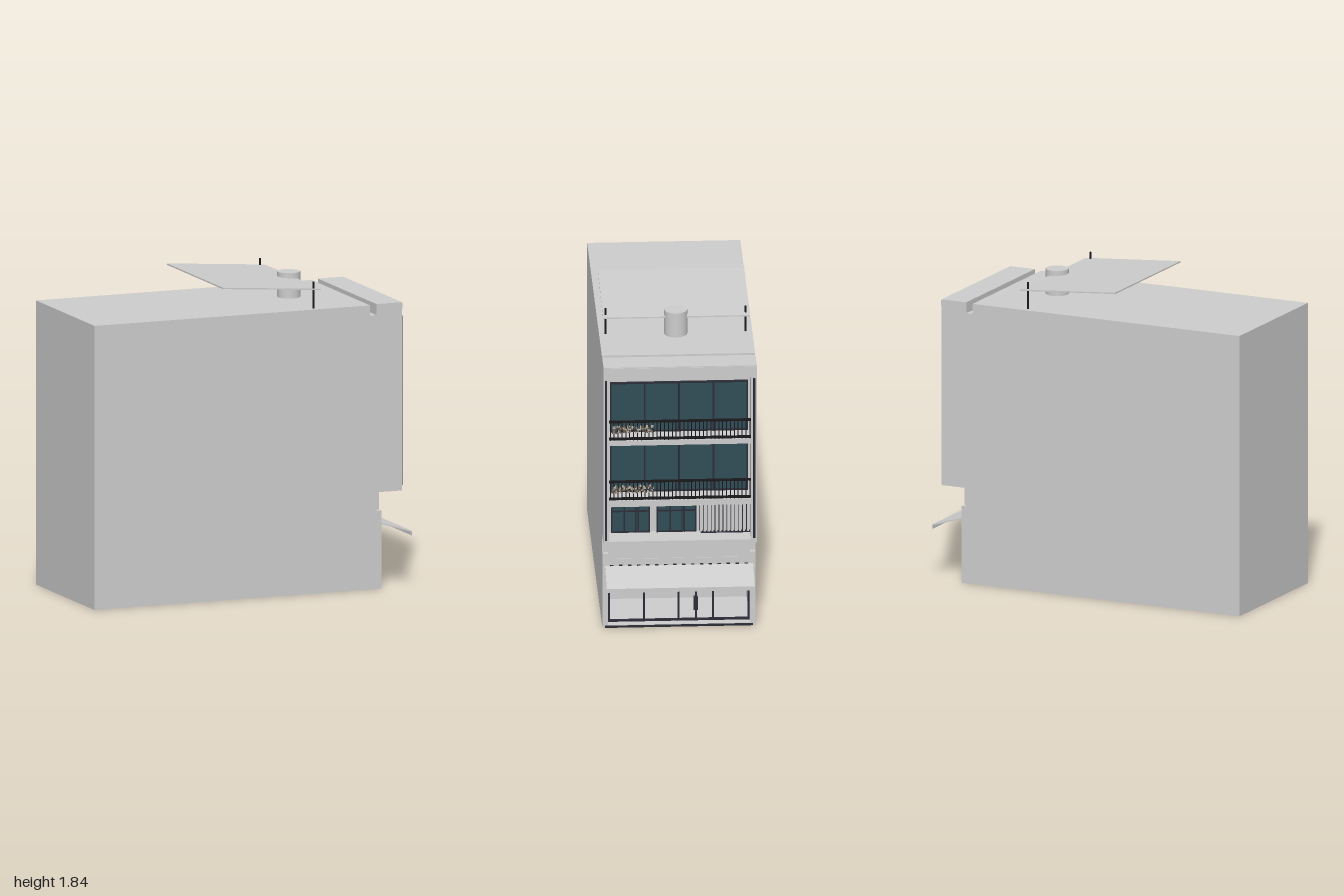
import * as THREE from 'three';

const mat = (name, color, side = THREE.FrontSide) => {
  const m = new THREE.MeshStandardMaterial({ color, side });
  m.name = name;
  return m;
};

export function createModel() {
  const wall = mat('pale grey wall', 0xcccccc);
  const glass = mat('dark teal glass', 0x2f4c56);
  const frame = mat('dark frame', 0x2c2c36);
  const rail = mat('black rail', 0x17171b);
  const bloom = mat('beige blossom', 0xb9aa98);
  const leaf = mat('brown leaf', 0x5d5148);

  const root = new THREE.Group();
  root.name = 'townhouse';
  const group = (name) => {
    const g = new THREE.Group();
    g.name = name;
    root.add(g);
    return g;
  };
  const add = (parent, name, geo, material) => {
    const m = new THREE.Mesh(geo, material);
    m.name = name;
    parent.add(m);
    return m;
  };
  // Box given by its lower and upper limits on each axis
  const box = (parent, name, material, x0, x1, y0, y1, z0, z1) => {
    const m = add(parent, name, new THREE.BoxGeometry(x1 - x0, y1 - y0, z1 - z0), material);
    m.position.set((x0 + x1) / 2, (y0 + y1) / 2, (z0 + z1) / 2);
    return m;
  };
  // Side outline (x, y) extruded from z0 to z1
  const slice = (parent, name, pts, z0, z1) => {
    const shape = new THREE.Shape(pts.map(([x, y]) => new THREE.Vector2(x, y)));
    const geo = new THREE.ExtrudeGeometry(shape, { depth: z1 - z0, bevelEnabled: false });
    geo.translate(0, 0, z0);
    return add(parent, name, geo, wall);
  };

  // Building: party walls on each side, core with recessed floors between them
  const H = 0.445, W = 0.412;
  const roofLine = [[0.93, 1.68], [0.77, 1.68], [0.77, 1.615], [0.73, 1.615], [0.73, 1.675], [-1, 1.675]];
  const sideOutline = [[-1, 0], [0.8, 0], [0.8, 0.46], [0.77, 0.46], [0.77, 0.57], [0.93, 0.57], ...roofLine];
  const coreOutline = [
    [-1, 0], [0.8, 0], [0.8, 0.015], [0.4, 0.015], [0.4, 0.3], [0.8, 0.3],
    [0.8, 0.57], [0.93, 0.57], [0.93, 0.59], [0.78, 0.59],
    [0.78, 0.81], [0.93, 0.81], [0.93, 0.845], [0.78, 0.845],
    [0.78, 1.19], [0.93, 1.19], [0.93, 1.22], [0.78, 1.22], [0.78, 1.605], [0.93, 1.605],
    ...roofLine,
  ];
  const building = group('building');
  slice(building, 'core', coreOutline, -W, W);
  slice(building, 'leftWall', sideOutline, W, H);
  slice(building, 'rightWall', sideOutline, -H, -W);
  box(building, 'parapetBand', wall, 0.93, 0.934, 1.64, 1.675, -H, H);
  box(building, 'doorStep', frame, 0.8, 0.806, 0, 0.012, -0.43, 0.43);
  for (const s of [-1, 1]) {
    box(building, 'edgeStrip', frame, 0.93, 0.937, 0.6, 1.6, s * 0.43 - 0.006, s * 0.43 + 0.006);
  }

  // Framed glazing: pane, border and mullions
  const glazing = (parent, x, y0, y1, z0, z1, mullions, t, withGlass) => {
    if (withGlass) box(parent, 'pane', glass, x, x + 0.006, y0, y1, z0, z1);
    box(parent, 'bottomFrame', frame, x, x + 0.016, y0, y0 + t, z0, z1);
    box(parent, 'topFrame', frame, x, x + 0.016, y1 - t, y1, z0, z1);
    for (const z of [z0 + t / 2, ...mullions, z1 - t / 2]) {
      box(parent, 'mullion', frame, x, x + 0.018, y0, y1, z - t / 2, z + t / 2);
    }
  };

  // Shopfront
  const shop = group('shopfront');
  glazing(shop, 0.735, 0.015, 0.3, -0.41, 0.41, [-0.2, -0.1, 0, 0.2], 0.011, false);
  box(shop, 'doorHandle', frame, 0.75, 0.775, 0.09, 0.17, -0.11, -0.086);

  // Sloping awning with front lip
  const awning = group('awning');
  slice(awning, 'awningSheet', [[0.8, 0.38], [0.995, 0.318], [0.995, 0.298], [1, 0.298], [1, 0.323], [0.8, 0.387]], -0.43, 0.43);
  box(awning, 'awningBand', wall, 0.8, 0.804, 0.387, 0.43, -0.405, 0.405);
  for (let i = 0; i < 16; i++) {
    const z = -0.39 + i * 0.052;
    box(awning, 'awningBracket', frame, 0.8, 0.808, 0.387, 0.394, z - 0.01, z + 0.01);
  }

  // First floor: two small windows, sunshade and slatted screen
  const first = group('firstFloor');
  for (const [z0, z1] of [[0.17, 0.395], [-0.1, 0.13]]) {
    const w = z1 - z0;
    glazing(first, 0.78, 0.59, 0.77, z0, z1, [0.3, 0.36, 0.66].map((f) => z0 + w * f), 0.007, true);
    box(first, 'transom', frame, 0.78, 0.797, 0.72, 0.727, z0, z1);
  }
  box(first, 'sunshade', wall, 0.78, 0.86, 0.778, 0.79, -0.12, W);
  box(first, 'screenBack', wall, 0.8, 0.806, 0.6, 0.8, -0.41, -0.125);
  box(first, 'screenTop', frame, 0.8, 0.826, 0.796, 0.803, -0.41, -0.125);
  box(first, 'screenBottom', frame, 0.8, 0.826, 0.592, 0.599, -0.41, -0.125);
  for (let i = 0; i < 13; i++) {
    const z = -0.405 + i * 0.0228;
    box(first, 'screenSlat', wall, 0.806, 0.825, 0.6, 0.796, z, z + 0.012);
    box(first, 'screenGap', frame, 0.806, 0.809, 0.6, 0.796, z + 0.012, z + 0.016);
  }

  // Upper floors: wide windows, balcony rails with planting
  let seed = 7;
  const rnd = () => (seed = (seed * 16807) % 2147483647) / 2147483647;
  for (const [y, top] of [[0.845, 1.155], [1.22, 1.53]]) {
    const floor = group('balcony');
    glazing(floor, 0.78, y, top, -0.4, 0.4, [-0.2, 0, 0.2], 0.009, true);
    box(floor, 'topRail', rail, 0.9, 0.925, y + 0.11, y + 0.117, -W, W);
    box(floor, 'bottomRail', rail, 0.9, 0.925, y + 0.003, y + 0.011, -W, W);
    for (let i = 0; i <= 36; i++) {
      const z = -0.405 + i * 0.0225;
      box(floor, 'baluster', rail, 0.902, 0.923, y, y + 0.112, z - 0.0025, z + 0.0025);
    }
    for (let i = 0; i < 110; i++) {
      const z = 0.155 + rnd() * 0.24, h = y + 0.048 + rnd() * 0.042, r = 0.003 + rnd() * 0.002;
      box(floor, 'flower', i % 2 ? bloom : leaf, 0.916, 0.928, h - r, h + r, z - r, z + r);
    }
    const lamp = add(floor, 'ceilingLamp', new THREE.CylinderGeometry(0.01, 0.01, 0.008, 16), frame);
    lamp.position.set(0.855, y === 1.22 ? 1.601 : 1.186, 0);
  }

  // Roof: tilted canopy on two posts and a water tank
  const roof = group('roof');
  slice(roof, 'canopy', [[-0.185, 1.831], [0.43, 1.782], [0.43, 1.79], [-0.185, 1.839]], -0.427, 0.423);
  for (const z of [-0.407, 0.407]) {
    const post = add(roof, 'canopyPost', new THREE.CylinderGeometry(0.006, 0.006, 0.16, 12), rail);
    post.position.set(0.39, 1.753, z);
  }
  const tank = add(roof, 'waterTank', new THREE.CylinderGeometry(0.067, 0.067, 0.15, 32), wall);
  tank.position.set(0.403, 1.75, 0);

  return root;
}
